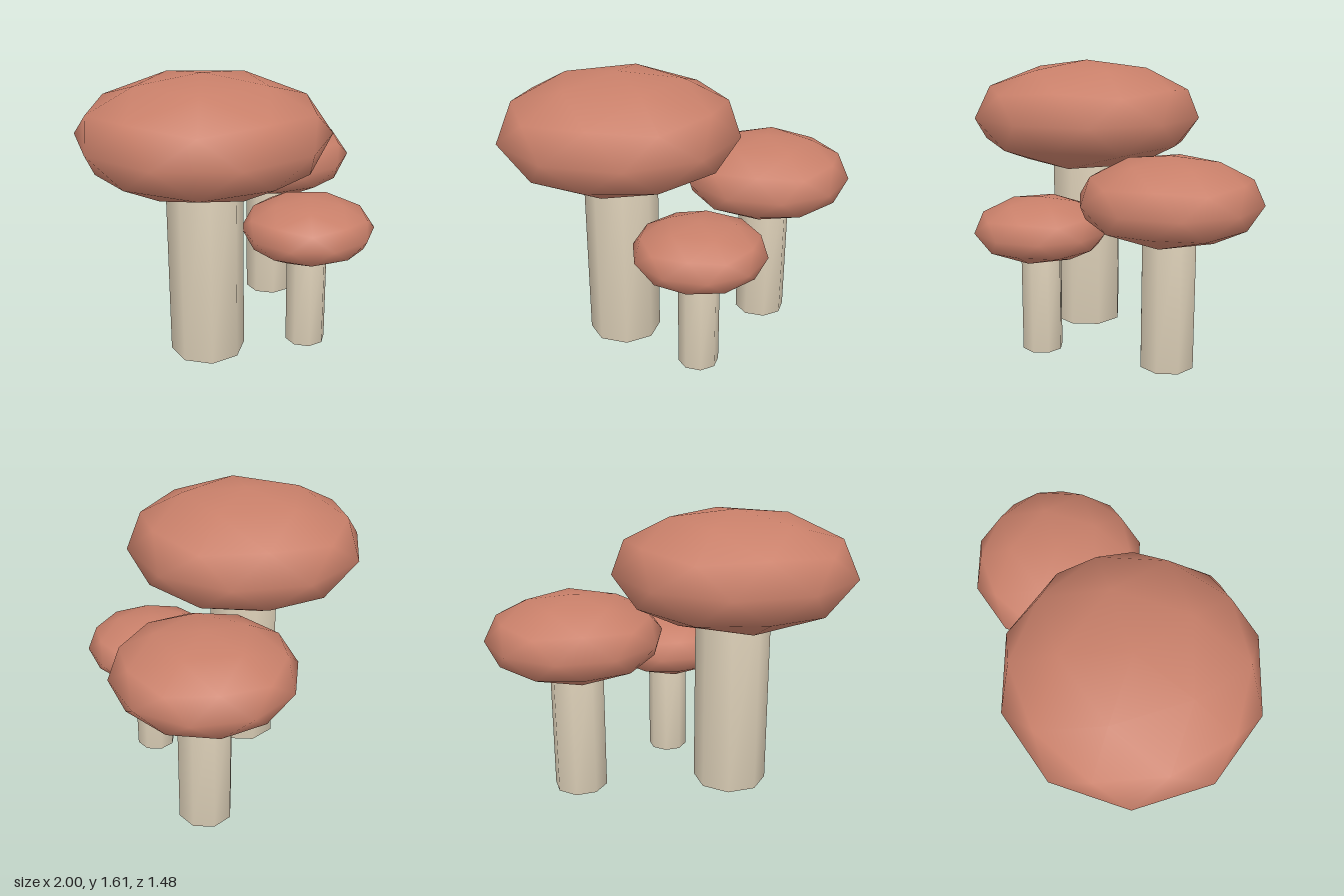
import * as THREE from 'three';
import { mergeVertices } from 'three/addons/utils/BufferGeometryUtils.js';

// Weld all corners so the low-poly surface is shaded smoothly
function smooth(geometry) {
  geometry.deleteAttribute('uv');
  geometry.deleteAttribute('normal');
  const welded = mergeVertices(geometry, 1e-4);
  welded.computeVertexNormals();
  return welded;
}

// Flattened icosphere standing on one of its twelve poles
function capGeometry(radius, halfHeight) {
  const geometry = new THREE.IcosahedronGeometry(1, 1);
  geometry.rotateZ(-Math.atan(2 / (1 + Math.sqrt(5))));
  geometry.scale(radius, halfHeight, radius);
  return smooth(geometry);
}

// Eight-sided straight stem from the ground up into the cap
function stemGeometry(radius, height) {
  const geometry = new THREE.CylinderGeometry(radius, radius, height, 8);
  geometry.translate(0, height / 2, 0);
  return smooth(geometry);
}

export function createModel() {
  const capMaterial = new THREE.MeshStandardMaterial({ color: 0xc9806a });
  capMaterial.name = 'terracotta cap';
  const stemMaterial = new THREE.MeshStandardMaterial({ color: 0xddd0b8 });
  stemMaterial.name = 'cream stem';

  // Position on the ground, height of the cap's widest ring, cap radius
  const mushrooms = [
    { name: 'largeMushroom', x: -0.345, z: -0.05, y: 1.285, r: 0.6875 },
    { name: 'mediumMushroom', x: 0.527, z: -0.215, y: 0.925, r: 0.495 },
    { name: 'smallMushroom', x: 0.065, z: 0.36, y: 0.707, r: 0.378 },
  ];

  const model = new THREE.Group();
  model.name = 'mushroomCluster';
  for (const { name, x, y, z, r } of mushrooms) {
    const mushroom = new THREE.Group();
    mushroom.name = name;
    mushroom.position.set(x, 0, z);

    const stem = new THREE.Mesh(stemGeometry(r * 0.309, y), stemMaterial);
    stem.name = 'stem';
    const cap = new THREE.Mesh(capGeometry(r, r * 0.473), capMaterial);
    cap.name = 'cap';
    cap.position.y = y;

    mushroom.add(stem, cap);
    model.add(mushroom);
  }
  return model;
}
